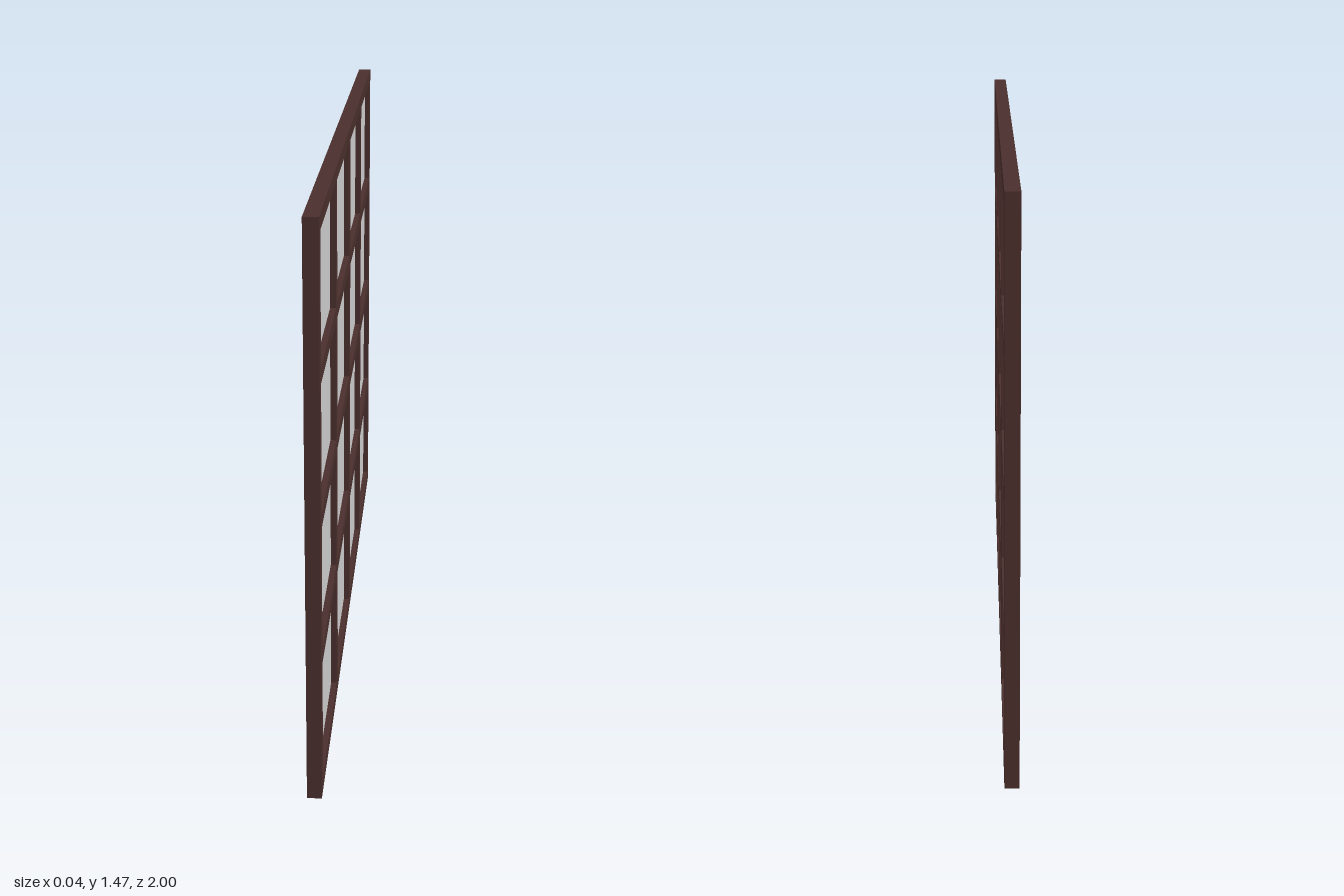
import * as THREE from 'three';

const HEIGHT = 1.47, LENGTH = 2, BAR = 0.037, DEPTH = 0.037, GLASS = 0.006;
const COLS = 4, ROWS = 4;

export function createModel() {
  const model = new THREE.Group();
  model.name = 'griddedWindow';
  const wood = new THREE.MeshStandardMaterial({ color: 0x4a2f2c });
  const glass = new THREE.MeshStandardMaterial({ color: 0xcccccc });

  const addBox = (name, material, sx, sy, sz, y, z) => {
    const mesh = new THREE.Mesh(new THREE.BoxGeometry(sx, sy, sz), material);
    mesh.name = name;
    mesh.position.set(0, y, z);
    model.add(mesh);
  };

  const stepZ = (LENGTH - BAR) / COLS, stepY = (HEIGHT - BAR) / ROWS;
  const barZ = (i) => -LENGTH / 2 + BAR / 2 + i * stepZ;
  const barY = (j) => BAR / 2 + j * stepY;

  // Full-height uprights: two outer stiles and the inner mullions
  for (let i = 0; i <= COLS; i++) {
    const outer = i === 0 || i === COLS;
    addBox(outer ? 'stile' : 'mullion', wood, DEPTH, HEIGHT, BAR, HEIGHT / 2, barZ(i));
  }

  for (let i = 0; i < COLS; i++) {
    const z = barZ(i + 0.5);
    // Horizontal bars between the uprights
    for (let j = 0; j <= ROWS; j++) {
      const outer = j === 0 || j === ROWS;
      addBox(outer ? 'rail' : 'crossbar', wood, DEPTH, BAR, stepZ - BAR, barY(j), z);
    }
    // Panes set in the middle of the frame depth
    for (let j = 0; j < ROWS; j++) {
      addBox('pane', glass, GLASS, stepY - BAR, stepZ - BAR, barY(j + 0.5), z);
    }
  }
  return model;
}
